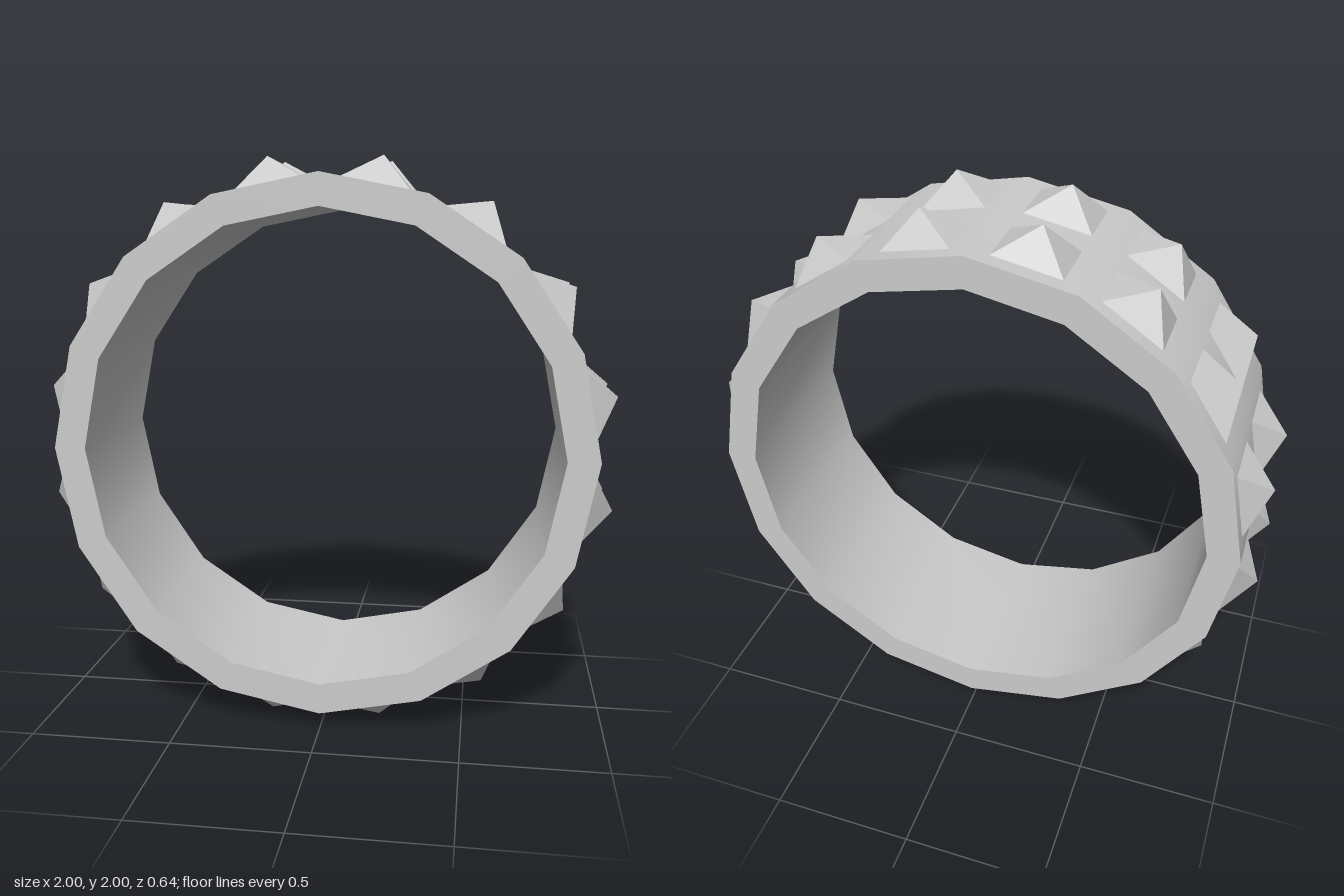
import * as THREE from 'three';
import { toCreasedNormals } from 'three/addons/utils/BufferGeometryUtils.js';

const SIDES = 16;
const OUTER = 0.94, INNER = 0.83, HALF_WIDTH = 0.322;
const STUD_LENGTH = 0.236, STUD_WIDTH = 0.205, TIP_RADIUS = 1.02, ROW_Z = 0.162;

export function createModel() {
  const model = new THREE.Group();
  model.name = 'studdedBand';

  // Band: closed rectangular profile turned into a 16-sided ring around z
  const profile = [
    [INNER, -HALF_WIDTH], [OUTER, -HALF_WIDTH], [OUTER, HALF_WIDTH],
    [INNER, HALF_WIDTH], [INNER, -HALF_WIDTH],
  ].map(([r, y]) => new THREE.Vector2(r, y));
  const bandGeometry = new THREE.LatheGeometry(profile, SIDES).rotateX(Math.PI / 2);
  const band = new THREE.Mesh(
    toCreasedNormals(bandGeometry, 0.6),
    new THREE.MeshStandardMaterial({ color: 0xcccccc })
  );
  band.name = 'band';
  band.position.y = 1;
  model.add(band);

  // Pyramid stud with its base resting on a flat of the band
  const apothem = OUTER * Math.cos(Math.PI / SIDES);
  const height = TIP_RADIUS - apothem;
  const studGeometry = new THREE.ConeGeometry(Math.SQRT1_2, 1, 4, 1)
    .rotateY(Math.PI / 4)
    .scale(STUD_LENGTH, height, STUD_WIDTH)
    .translate(0, apothem + height / 2, 0);
  const studMaterial = new THREE.MeshStandardMaterial({ color: 0xcccccc, flatShading: true });

  // Two rows of studs, one stud per flat
  for (const side of [1, -1]) {
    const row = new THREE.Group();
    row.name = side > 0 ? 'frontStudRow' : 'backStudRow';
    row.position.set(0, 1, side * ROW_Z);
    for (let i = 0; i < SIDES; i++) {
      const stud = new THREE.Mesh(studGeometry, studMaterial);
      stud.name = 'stud';
      stud.rotation.z = ((i + 0.5) / SIDES) * Math.PI * 2;
      row.add(stud);
    }
    model.add(row);
  }
  return model;
}
